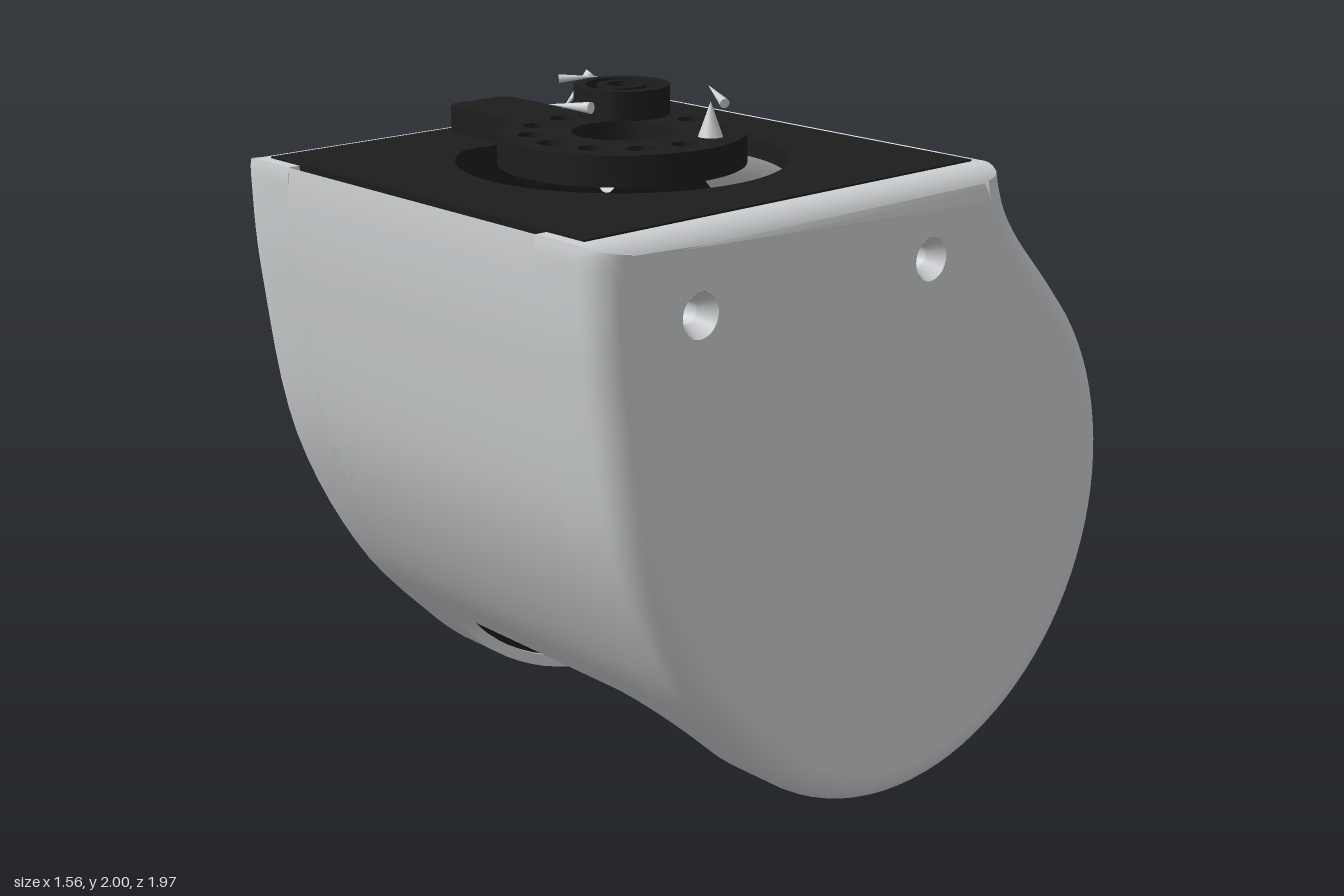
import * as THREE from 'three';
import { toCreasedNormals } from 'three/addons/utils/BufferGeometryUtils.js';

const V = (a, b) => new THREE.Vector2(a, b);
const CZ = -0.17, CY = 0.82, R = 0.817; // joint axis and rounded end radius
const SLOT = 0.53, BEVEL = 0.09, WALL = 0.035;
const SCREWS = [[0.67, 1.58], [-0.17, 1.58]];

// Side outline in (z, y): front curve, round bottom, concave neck at the back
function outline() {
  const front = new THREE.SplineCurve([V(0.98, 1.79), V(0.984, 1.72), V(0.967, 1.45), V(0.885, 0.97),
    V(0.68, 0.55), V(0.408, 0.242)]).getPoints(28);
  const pts = front.slice(0, -1);
  for (let i = 0; i <= 44; i++) {
    const a = -Math.PI / 4 - (i / 44) * (172 * Math.PI / 180);
    pts.push(V(CZ + R * Math.cos(a), CY + R * Math.sin(a)));
  }
  const back = new THREE.SplineCurve([pts[pts.length - 1].clone(), V(-0.72, 1.43), V(-0.59, 1.57),
    V(-0.525, 1.66), V(-0.495, 1.73), V(-0.48, 1.79)]).getPoints(20);
  return pts.concat(back.slice(1));
}

// Move a closed outline inwards by d
function inset(pts, d) {
  const n = pts.length;
  const normal = (a, b) => V(b.y - a.y, a.x - b.x).normalize();
  return pts.map((p, i) => {
    const n1 = normal(pts[(i + n - 1) % n], p), n2 = normal(p, pts[(i + 1) % n]);
    return p.clone().add(n1.clone().add(n2).multiplyScalar(d / (1 + n1.dot(n2))));
  });
}

// Skin between closed loops of [x, points(z, y)]
function loft(loops) {
  const n = loops[0][1].length, pos = [], idx = [];
  for (const [x, pts] of loops) for (const p of pts) pos.push(x, p.y, p.x);
  for (let i = 0; i < loops.length - 1; i++) {
    for (let j = 0; j < n; j++) {
      const k = (j + 1) % n, a = i * n + j, b = i * n + k, c = a + n, d = b + n;
      idx.push(a, b, c, b, d, c);
    }
  }
  const g = new THREE.BufferGeometry();
  g.setAttribute('position', new THREE.Float32BufferAttribute(pos, 3));
  g.setIndex(idx);
  return toCreasedNormals(g, 0.6);
}

// Shorten a polyline where a coordinate falls to a limit, then space it evenly
function cut(pts, axis, limit, count) {
  const out = [pts[0]];
  for (let i = 1; i < pts.length; i++) {
    const a = pts[i - 1], b = pts[i];
    if (b[axis] <= limit) {
      out.push(a.clone().lerp(b, (a[axis] - limit) / (a[axis] - b[axis])));
      break;
    }
    out.push(b);
  }
  return new THREE.Path(out).getSpacedPoints(count);
}

const hole = (x, y, r) => new THREE.Path().absarc(x, y, r, 0, Math.PI * 2, true);
const disc = (x, y, r, inner) => {
  const s = new THREE.Shape().absarc(x, y, r, 0, Math.PI * 2, false);
  if (inner) s.holes.push(hole(x, y, inner));
  return s;
};
const extrude = (shape, depth) => toCreasedNormals(
  new THREE.ExtrudeGeometry(shape, { depth, bevelEnabled: false, curveSegments: 40 }), 0.5);
// Slab with a (z, y) shape, filling x0..x1
const sideSlab = (shape, x0, x1) => extrude(shape, x1 - x0).rotateY(-Math.PI / 2).translate(x1, 0, 0);
// Slab with an (x, -z) shape, filling y0..y1
const flatSlab = (shape, y0, y1) => extrude(shape, y1 - y0).rotateX(-Math.PI / 2).translate(0, y0, 0);

// Ribbed motor outline
function ribbed(base, ridge, inner) {
  const pts = [];
  for (let k = 0; k < 12; k++) {
    for (const [deg, r] of [[-5, ridge], [5, ridge], [9, base], [21, base]]) {
      const a = (k * 30 + deg) * Math.PI / 180;
      pts.push(V(CZ + r * Math.cos(a), CY + r * Math.sin(a)));
    }
  }
  const s = new THREE.Shape(pts);
  if (inner) s.holes.push(hole(CZ, CY, inner));
  return s;
}

export function createModel() {
  const model = new THREE.Group();
  const shell = new THREE.MeshStandardMaterial({ color: 0xcdd0d2, side: THREE.DoubleSide });
  shell.name = 'light grey shell';
  const black = new THREE.MeshStandardMaterial({ color: 0x1d1d1d });
  black.name = 'black plastic';
  const add = (name, geo, mat) => {
    const m = new THREE.Mesh(geo, mat);
    m.name = name;
    model.add(m);
    return m;
  };

  const P = outline(), inner = inset(P, WALL);

  // Side cheeks with rounded outer edges, screw holes and black linings
  for (const s of [1, -1]) {
    const loops = [[0.6, inner], [SLOT, inner], [SLOT, P]];
    for (let i = 0; i <= 8; i++) {
      const a = (i / 8) * Math.PI / 2;
      loops.push([0.78 - BEVEL * (1 - Math.sin(a)), inset(P, BEVEL * (1 - Math.cos(a)))]);
    }
    const placed = loops.map(([x, p]) => [s * x, p]);
    add('sideRim', loft(s > 0 ? placed : placed.reverse()), shell);

    const span = (shape, a, b) => sideSlab(shape, Math.min(s * a, s * b), Math.max(s * a, s * b));
    const face = new THREE.Shape(inset(P, BEVEL));
    const lining = new THREE.Shape(inset(P, WALL));
    for (const [z, y] of SCREWS) {
      face.holes.push(hole(z, y, 0.06));
      lining.holes.push(hole(z, y, 0.032));
      const sink = new THREE.CylinderGeometry(0.06, 0.032, 0.05, 28, 1, true);
      add('countersink', sink.rotateZ(-s * Math.PI / 2).translate(s * 0.755, y, z), shell);
      const tube = new THREE.CylinderGeometry(0.032, 0.032, 0.19, 28, 1, true);
      add('screwTube', tube.rotateZ(Math.PI / 2).translate(s * 0.635, y, z), shell);
    }
    lining.holes.push(hole(CZ, CY, 0.25));
    add('sideFace', span(face, 0.765, 0.78), shell);
    add('sideLining', span(lining, 0.545, 0.6), black);
    add('bearingSeat', span(disc(CZ, CY, 0.28), 0.6, 0.62), shell);
    add('bearingLip', span(disc(CZ, CY, 0.31, 0.25), 0.52, 0.55), black);
  }

  // Front and back walls, ending in the rounded edges of the slot
  const corner = (x, r, h) => {
    const t = Math.max(0, (Math.abs(x) - (SLOT - r)) / r);
    return h * (1 - Math.sqrt(Math.max(0, 1 - t * t)));
  };
  const frontLoops = [], backLoops = [];
  const back = [...P].reverse(), backInner = [...inner].reverse();
  for (let i = 0; i <= 36; i++) {
    const x = SLOT * Math.sin((i / 36 - 0.5) * Math.PI);
    const y = 0.4 - corner(x, 0.22, 0.2), z = -0.62 - corner(x, 0.1, 0.1);
    frontLoops.push([x, [...cut(P, 'y', y, 28), ...cut(inner, 'y', y, 28).reverse()]]);
    backLoops.push([x, [...cut(back, 'x', z, 16).reverse(), ...cut(backInner, 'x', z, 16)]]);
  }
  add('frontWall', loft(frontLoops), shell);
  add('backWall', loft(backLoops), shell);

  // Top plate with a wide round opening
  const plate = new THREE.Shape([V(-0.67, -0.945), V(0.67, -0.945), V(0.67, 0.45), V(-0.67, 0.45)]);
  const end = 145 * Math.PI / 180;
  plate.holes.push(new THREE.Path().absarc(0, -0.24, 0.46, end, -end, true));
  add('topPlate', flatSlab(plate, 1.74, 1.795), black);

  // Turning disc with its arm and a ring of holes
  const turn = 155 * Math.PI / 180;
  const horn = new THREE.Shape().absarc(0, -0.24, 0.345, -turn, turn, false);
  for (const [x, y] of [[-0.37, -0.13], [-0.62, -0.13], [-0.65, -0.16], [-0.65, -0.33], [-0.62, -0.36],
    [-0.37, -0.36]]) horn.lineTo(x, y);
  horn.holes.push(hole(0, -0.24, 0.14));
  for (let k = 0; k < 12; k++) {
    const a = k * Math.PI / 6;
    horn.holes.push(hole(0.255 * Math.cos(a), -0.24 + 0.255 * Math.sin(a), 0.037));
  }
  add('turningDisc', flatSlab(horn, 1.785, 1.87), black);

  // Bearing raised above the disc
  add('bearingOuterRing', flatSlab(disc(0, -0.24, 0.132, 0.1), 1.92, 2), black);
  add('bearingInnerRing', flatSlab(disc(0, -0.24, 0.068, 0.04), 1.92, 2), black);
  add('bearingCore', flatSlab(disc(0, -0.24, 0.042), 1.92, 1.98), black);
  for (let k = 0; k < 12; k++) {
    const a = k * Math.PI / 6;
    const ball = new THREE.SphereGeometry(0.02, 12, 8);
    add('bearingBall', ball.translate(0.084 * Math.cos(a), 1.96, 0.24 + 0.084 * Math.sin(a)), black);
  }

  // Small pointed pins and thin slivers on the disc
  const spike = (name, from, to, r) => {
    const a = new THREE.Vector3(...from), b = new THREE.Vector3(...to), dir = b.clone().sub(a);
    const m = add(name, new THREE.ConeGeometry(r, dir.length(), 14), shell);
    m.position.copy(a).add(b).multiplyScalar(0.5);
    m.quaternion.setFromUnitVectors(new THREE.Vector3(0, 1, 0), dir.normalize());
  };
  for (const x of [-0.22, 0.22]) spike('pin', [x, 1.865, 0.113], [x, 1.965, 0.113], 0.036);
  spike('sliver', [-0.245, 1.985, 0.14], [-0.28, 1.89, 0.22], 0.02);
  spike('sliver', [-0.27, 1.98, 0.24], [-0.2, 1.985, 0.15], 0.012);
  spike('sliver', [0.23, 1.955, 0.07], [0.11, 1.985, 0.02], 0.014);
  spike('sliver', [0.14, 1.98, 0.47], [0, 1.975, 0.5], 0.016);

  // Ribbed motor fixed to one cheek, with a stepped hollow face
  add('motorShim', sideSlab(ribbed(0.66, 0.705), -0.545, -0.5), shell);
  add('motorBody', sideSlab(ribbed(0.64, 0.695, 0.36), -0.5, 0.02), black);
  add('motorFlange', sideSlab(disc(CZ, CY, 0.495, 0.35), 0.02, 0.05), black);
  add('motorSleeve', sideSlab(disc(CZ, CY, 0.362, 0.31), -0.45, -0.02), shell);
  add('motorBack', sideSlab(disc(CZ, CY, 0.33), -0.45, -0.2), shell);
  add('motorBar', new THREE.BoxGeometry(0.1, 0.6, 0.18).translate(-0.16, CY, CZ), black);
  add('motorHub', sideSlab(disc(CZ, CY, 0.17, 0.06), -0.2, -0.08), black);
  return model;
}
